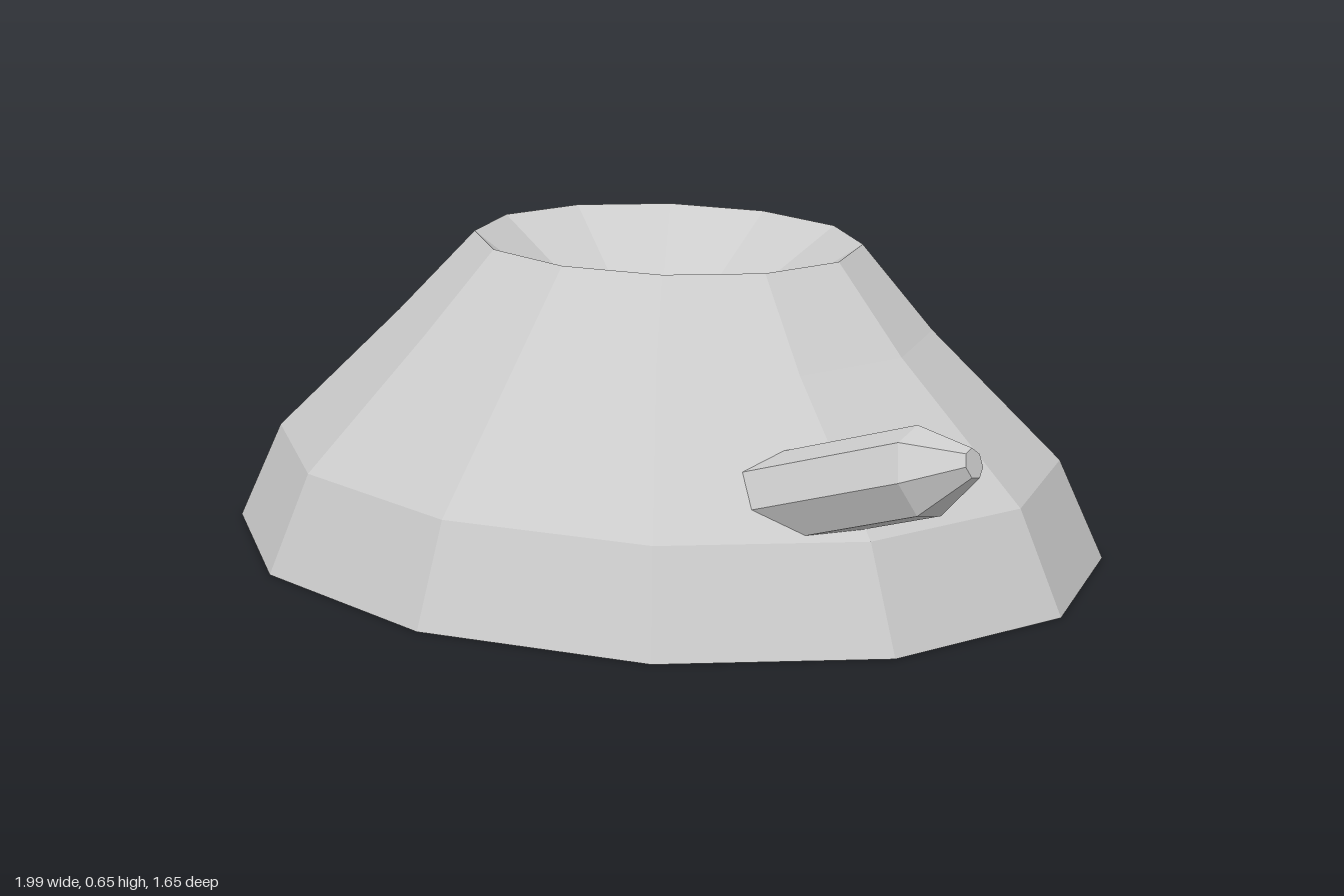
import * as THREE from 'three';

const stone = new THREE.MeshStandardMaterial({ color: 0xcccccc, flatShading: true });
stone.name = 'pale stone';

// Faceted turned solid from [radius, height] pairs
function turned(name, profile, sides) {
  const points = profile.map(([r, y]) => new THREE.Vector2(r, y));
  const mesh = new THREE.Mesh(new THREE.LatheGeometry(points, sides), stone);
  mesh.name = name;
  return mesh;
}

// Low star: a fan from the apex plus a skirt sunk into the slope
function starBump(apex, rim, depth) {
  const pos = [];
  rim.forEach((p, i) => {
    const n = rim[(i + 1) % rim.length];
    const pLow = [p[0] + depth * 0.4, p[1] - depth, p[2] + depth * 0.2];
    const nLow = [n[0] + depth * 0.4, n[1] - depth, n[2] + depth * 0.2];
    pos.push(...apex, ...p, ...n, ...p, ...pLow, ...nLow, ...p, ...nLow, ...n);
  });
  const geo = new THREE.BufferGeometry();
  geo.setAttribute('position', new THREE.Float32BufferAttribute(pos, 3));
  geo.computeVertexNormals();
  const mesh = new THREE.Mesh(geo, stone);
  mesh.name = 'starBump';
  return mesh;
}

export function createModel() {
  const group = new THREE.Group();
  group.name = 'craterMound';

  // Oval mound with a sunken crater
  const mound = turned('mound', [
    [0, 0], [0.984, 0], [0.885, 0.21], [0.6, 0.48], [0.435, 0.655],
    [0.26, 0.54], [0.11, 0.45], [0, 0.45],
  ], 12);
  mound.scale.z = 0.836;
  mound.position.x = -0.016;
  // the rim and crater sit slightly towards the back
  const p = mound.geometry.attributes.position;
  for (let i = 0; i < p.count; i++) {
    if (p.getY(i) > 0.6) p.setZ(i, p.getZ(i) - 0.02);
  }
  group.add(mound);

  // Blunt spike leaning out of the slope
  const spike = turned('spike', [
    [0, 0], [0.092, 0], [0.092, 0.5], [0.03, 0.615], [0, 0.615],
  ], 7);
  spike.position.set(0.4, 0.217, 0.385);
  spike.rotation.z = -THREE.MathUtils.degToRad(72);
  group.add(spike);

  // Four-pointed bump on the opposite slope
  group.add(starBump([-0.62, 0.385, -0.33], [
    [-0.765, 0.275, -0.245], [-0.67, 0.35, -0.215],
    [-0.625, 0.42, -0.175], [-0.575, 0.4, -0.27],
    [-0.505, 0.44, -0.335], [-0.58, 0.36, -0.345],
    [-0.6, 0.325, -0.41], [-0.69, 0.285, -0.33],
  ], 0.06));

  return group;
}
